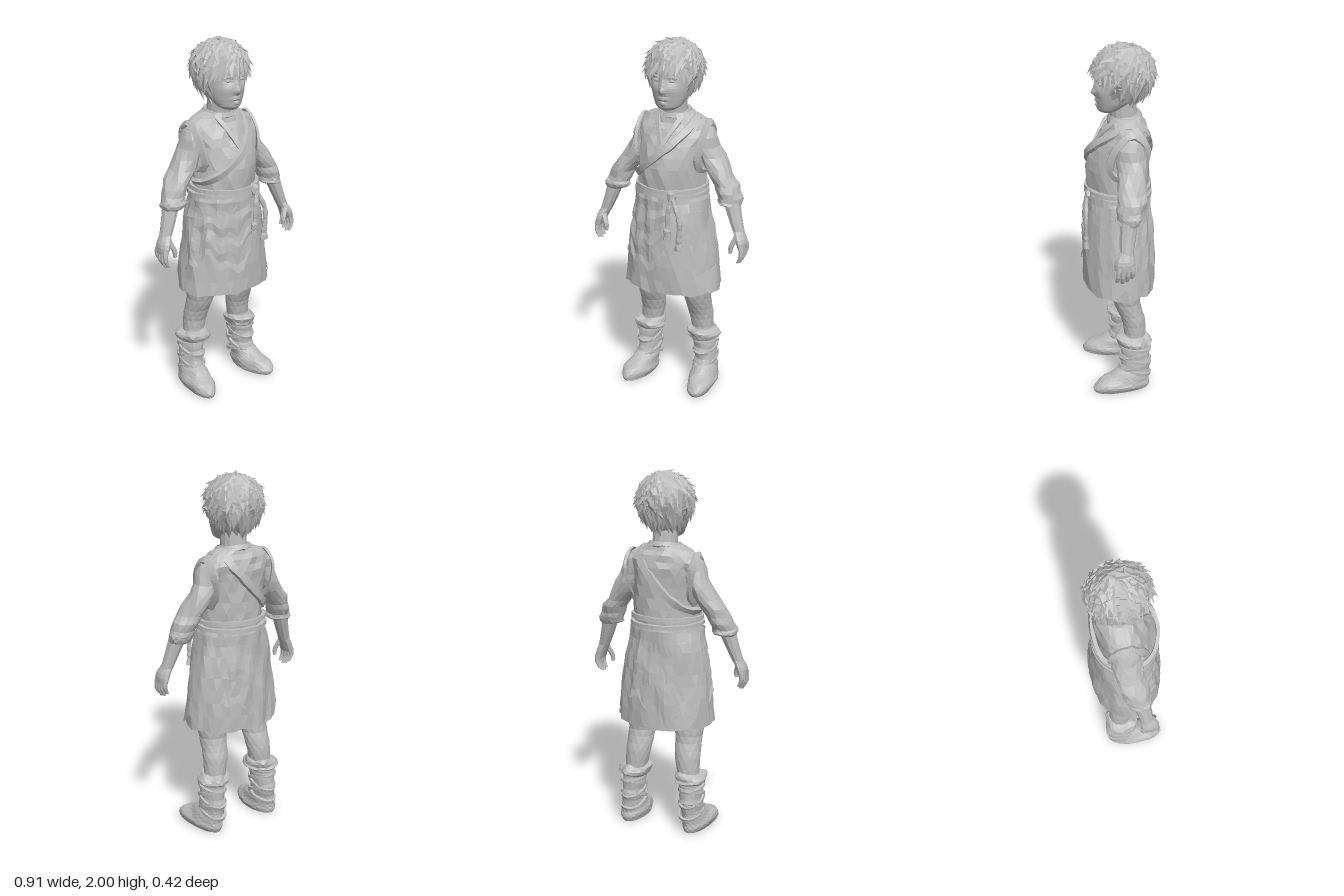
import * as THREE from 'three';
import { mergeGeometries } from 'three/addons/utils/BufferGeometryUtils.js';

const V = (x, y, z) => new THREE.Vector3(x, y, z);
const clay = new THREE.MeshStandardMaterial({ color: 0xbcbcbc, side: THREE.DoubleSide });
clay.name = 'grey clay';

let seed = 7;
const rand = () => (seed = (seed * 16807) % 2147483647) / 2147483647;
const crumple = (x, y, z) => Math.sin(37 * x + 51 * y + 13 * z) * Math.sin(29 * z - 41 * y + 23 * x + 1);
const bump = (dx, dy, r) => Math.exp(-(dx * dx + dy * dy) / (r * r));

// faceted normals
function flat(geo) {
  const g = geo.index ? geo.toNonIndexed() : geo;
  g.deleteAttribute('uv');
  g.computeVertexNormals();
  return g;
}

// Rows of points joined by triangles whose diagonals alternate from row to row
function gridGeometry(pos, rows, cols) {
  const index = [];
  for (let i = 0; i < rows - 1; i++) for (let j = 0; j < cols - 1; j++) {
    const a = i * cols + j, d = a + cols;
    if (i % 2) index.push(a, a + 1, d + 1, a, d + 1, d);
    else index.push(a, a + 1, d, a + 1, d + 1, d);
  }
  const g = new THREE.BufferGeometry();
  g.setAttribute('position', new THREE.Float32BufferAttribute(pos, 3));
  g.setIndex(index);
  return flat(g);
}

// Horizontal elliptical rings [y, x, z, rx, rz], listed from bottom to top
function loft(rings, { s = 1, n = 14, rows = 10, amp = 0, caps = true, arc, deform } = {}) {
  const mid = new THREE.CatmullRomCurve3(rings.map(r => V(r[1] * s, r[0], r[2])));
  const rad = new THREE.CatmullRomCurve3(rings.map(r => V(r[3], 0, r[4])));
  const list = [];
  for (let i = 0; i <= rows; i++) list.push([mid.getPoint(i / rows), rad.getPoint(i / rows)]);
  if (caps) {
    list.unshift([list[0][0], V(0, 0, 0)]);
    list.push([list[list.length - 1][0], V(0, 0, 0)]);
  }
  const [t0, t1] = arc || [0, Math.PI * 2];
  const pos = [];
  list.forEach(([c, r], i) => {
    const stagger = amp && !arc ? i % 2 / 2 : 0;
    for (let j = 0; j <= n; j++) {
      const t = t0 + (t1 - t0) * (j % (arc ? n + 1 : n) + stagger) / n;
      const p = V(c.x + r.x * Math.sin(t), c.y, c.z + r.z * Math.cos(t));
      const k = amp * crumple(p.x, p.y, p.z);
      p.x += k * Math.sin(t); p.z += k * Math.cos(t); p.y += k * 0.6;
      if (deform) deform(p, t, i / (list.length - 1));
      pos.push(p.x, p.y, p.z);
    }
  });
  return gridGeometry(pos, list.length, n + 1);
}

// Flat band swept along points, facing away from a centre
function band(points, centre, width, thick, closed = true, steps = 40) {
  const curve = new THREE.CatmullRomCurve3(points.map(p => V(...p)), closed);
  const pos = [];
  for (let i = 0; i <= steps; i++) {
    const p = curve.getPoint(i / steps), T = curve.getTangent(i / steps);
    const N = p.clone().sub(V(...centre));
    N.addScaledVector(T, -N.dot(T)).normalize();
    const B = T.clone().cross(N);
    const w = width / 2 * (1 + 0.25 * crumple(p.x * 3, p.y * 3, p.z * 3));
    for (const [a, b] of [[-1, -1], [1, -1], [0.8, 1], [-0.8, 1], [-1, -1]]) {
      const q = p.clone().addScaledVector(B, a * w).addScaledVector(N, b * thick / 2);
      pos.push(q.x, q.y, q.z);
    }
  }
  return gridGeometry(pos, steps + 1, 5);
}

const ellipse = (y, x, z, rx, rz, tilt = 0, n = 12) => Array.from({ length: n }, (_, i) => {
  const t = i / n * Math.PI * 2;
  return [x + rx * Math.sin(t), y + tilt * Math.cos(t), z + rz * Math.cos(t)];
});

// Pointed lock of hair at P, lying against normal N and pointing along D
function hairLock(P, N, D, radius, len) {
  const S = D.clone().cross(N).normalize();
  const g = new THREE.ConeGeometry(radius, len, 4).scale(1, 1, 0.45).translate(0, len * 0.25, 0);
  return flat(g.applyMatrix4(new THREE.Matrix4().makeBasis(S, D, S.clone().cross(D)).setPosition(P)));
}

export function createModel() {
  const model = new THREE.Group();
  const add = (name, ...geos) => {
    const m = new THREE.Mesh(geos.length > 1 ? mergeGeometries(geos) : geos[0], clay);
    m.name = name;
    model.add(m);
  };

  // Head, with eye sockets, cheeks, nose and mouth pressed into the front
  add('head', loft([[1.638, 0, 0.055, 0.04, 0.038], [1.655, 0, 0.046, 0.068, 0.06], [1.70, 0, 0.018, 0.094, 0.097],
    [1.76, 0, 0, 0.11, 0.118], [1.82, 0, -0.01, 0.114, 0.128], [1.89, 0, -0.02, 0.11, 0.135], [1.95, 0, -0.03, 0.07, 0.08]],
  { n: 44, rows: 34, deform: p => {
    if (p.z < 0.03) return;
    const ax = Math.abs(p.x);
    p.z += -0.016 * bump(ax - 0.043, p.y - 1.8, 0.021) + 0.006 * bump(ax - 0.055, p.y - 1.745, 0.03)
      + 0.026 * bump(p.x * 1.1, p.y - 1.743, 0.018) + 0.012 * bump(p.x * 1.4, p.y - 1.775, 0.025)
      + 0.01 * bump(p.x * 0.5, p.y - 1.7, 0.011) - 0.008 * bump(p.x * 0.5, p.y - 1.688, 0.007)
      + 0.01 * bump(p.x * 0.6, p.y - 1.677, 0.009) + 0.007 * bump(p.x, p.y - 1.65, 0.025);
  } }));
  for (const s of [1, -1]) {
    const eye = new THREE.SphereGeometry(0.014, 10, 6).scale(1.25, 0.65, 0.6).translate(s * 0.044, 1.798, 0.1);
    add('eye', flat(eye));
    add('eyebrow', band([[s * 0.02, 1.817, 0.118], [s * 0.045, 1.824, 0.112], [s * 0.072, 1.816, 0.095]], [0, 1.8, 0], 0.012, 0.008, false, 6));
    add('ear', flat(new THREE.SphereGeometry(0.03, 7, 5).scale(0.45, 1.1, 0.75).translate(s * 0.116, 1.765, -0.005)));
  }
  add('neck', loft([[1.53, 0, -0.04, 0.085, 0.085], [1.6, 0, -0.032, 0.07, 0.074], [1.7, 0, -0.02, 0.068, 0.074]]));

  // Hair: a cap cut back above the face, covered with locks that fall from the crown
  const C = V(0, 1.842, -0.03), R = V(0.144, 0.142, 0.158), locks = [];
  const cap = new THREE.SphereGeometry(1, 24, 16).scale(R.x, R.y, R.z).translate(C.x, C.y, C.z);
  const cp = cap.attributes.position;
  for (let i = 0; i < cp.count; i++) if (cp.getZ(i) > 0 && cp.getY(i) < 1.86) cp.setZ(i, cp.getZ(i) * 0.6);
  add('hairCap', flat(cap));
  const count = 210;
  for (let i = 0; i < count; i++) {
    const h = 1 - 1.92 * (i + 0.5) / count, a = i * 2.39996, q = Math.sqrt(1 - h * h);
    const N = V(q * Math.sin(a), h, q * Math.cos(a));
    const P = N.clone().multiply(R).add(C);
    if (P.z > 0.035 && P.y < 1.88 || P.z > -0.03 && P.y < 1.75) continue;
    const D = P.clone().sub(V(0.03, 1.99, -0.07));
    D.addScaledVector(N, -D.dot(N)).normalize();
    const S = D.clone().cross(N);
    D.addScaledVector(S, (rand() - 0.5) * 1.2).addScaledVector(N, rand() * 0.2);
    if (h < -0.3) D.y -= 0.9;
    locks.push(hairLock(P, N, D.normalize(), 0.03 + rand() * 0.014, 0.075 + rand() * 0.05));
  }
  // fringe swept sideways around the forehead
  for (let i = 0; i < 13; i++) {
    const a = -1.25 + i * 0.208, N = V(Math.sin(a), 0.25, Math.cos(a)).normalize();
    const P = V(0.118 * Math.sin(a), 1.892 - 0.02 * Math.abs(a), -0.012 + 0.137 * Math.cos(a));
    const D = V(Math.cos(a) * (a - 0.35) * 0.6, -1, 0);
    D.addScaledVector(N, 0.1 - D.dot(N)).normalize();
    locks.push(hairLock(P, N, D, 0.028, 0.085 + 0.03 * Math.abs(a) + rand() * 0.025));
  }
  add('hairLocks', ...locks);

  // Vest, collar, armhole edges and shoulder strap
  add('vest', loft([[1.15, 0, 0, 0.182, 0.16], [1.25, 0, 0.003, 0.186, 0.168], [1.35, 0, 0.002, 0.183, 0.168],
    [1.45, 0, -0.015, 0.19, 0.152], [1.52, 0, -0.035, 0.205, 0.126], [1.57, 0, -0.045, 0.19, 0.098],
    [1.612, 0, -0.038, 0.092, 0.083]], { n: 22, rows: 10, amp: 0.009 }));
  add('collar', band(ellipse(1.608, 0, -0.036, 0.083, 0.081, -0.01), [0, 1.57, -0.035], 0.03, 0.014),
    ...[1, -1].map(s => band([[s * 0.072, 1.605, 0.018], [s * 0.054, 1.56, 0.066], [s * 0.025, 1.5, 0.11], [0, 1.44, 0.144]],
      [0, 1.5, -0.1], 0.026, 0.012, false, 8)));
  for (const s of [1, -1]) add('armholeEdge', band([[s * 0.2, 1.566, -0.045], [s * 0.197, 1.49, 0.043], [s * 0.178, 1.36, 0.07],
    [s * 0.178, 1.29, -0.02], [s * 0.18, 1.36, -0.1], [s * 0.2, 1.5, -0.118]], [0, 1.4, -0.03], 0.042, 0.014));
  add('shoulderStrap', band([[-0.188, 1.25, 0], [-0.15, 1.285, 0.111], [-0.05, 1.37, 0.167], [0.05, 1.46, 0.145], [0.12, 1.54, 0.055],
    [0.13, 1.589, -0.045], [0.1, 1.54, -0.135], [0, 1.42, -0.174], [-0.12, 1.3, -0.14]], [0, 1.4, 0], 0.045, 0.02));

  // Skirt with gathered folds and a ragged hem, plus an inner hem and torn overlaps
  const skirt = [[0.62, 0.004, -0.003, 0.277, 0.202], [0.8, 0.003, 0, 0.262, 0.197], [0.95, 0, 0, 0.24, 0.188], [1.08, 0, 0, 0.217, 0.177], [1.19, 0, 0, 0.187, 0.162]];
  const folds = (p, t, v) => {
    const k = 1 + 0.012 * Math.sin(9 * t + 4 * v) + 0.008 * Math.sin(17 * t);
    p.x *= k; p.z *= k;
    if (v === 0) p.y += 0.006 * Math.sin(7 * t) + 0.005 * Math.sin(13 * t + 1) + 0.004 * Math.cos(t);
  };
  add('skirt', loft(skirt, { n: 34, rows: 9, amp: 0.009, caps: false, deform: folds }));
  add('innerHem', loft([[0.605, 0, -0.01, 0.238, 0.172], [0.75, 0, 0, 0.235, 0.17], [0.9, 0, 0, 0.2, 0.16]],
    { n: 30, rows: 4, amp: 0.008, caps: false, deform: folds }));
  const overlap = (bottom, arc, tear, n) => loft([0, 1, 2, 3, 4].map(i => {
    const drop = (1.15 - bottom) * (1 - i / 4);
    return [1.15 - drop, 0, 0, 0.204 + drop * 0.16, 0.175 + drop * 0.07];
  }), { n, rows: 8, amp: 0.009, caps: false, arc, deform: (p, t, v) => { folds(p, t, 0.5); p.y += (1 - v) * tear(t); } });
  add('tornOverlap', overlap(0.8, [-1.75, 0.25], t => 0.045 * Math.sin(5 * t) + 0.03 * Math.sin(12 * t), 18),
    overlap(0.66, [0.85, 2.0], t => 0.035 * Math.sin(9 * t), 10),
    overlap(0.7, [2.5, 4.1], t => 0.08 * Math.sin(3 * t) + 0.02 * Math.sin(14 * t), 14));

  // Rope belt with a knot and two tasselled ends
  add('belt', band(ellipse(1.213, 0, 0, 0.193, 0.171, -0.005), [0, 1.2, 0], 0.026, 0.02),
    band(ellipse(1.182, 0, 0, 0.198, 0.174, 0.006), [0, 1.17, 0], 0.026, 0.02));
  add('beltKnot', flat(new THREE.DodecahedronGeometry(0.03).scale(1, 1.1, 0.6).translate(0.08, 1.195, 0.176)));
  for (const [x, y] of [[0.065, 0.95], [0.13, 0.9]]) {
    add('beltEnd', loft([[y + 0.05, x, 0.196, 0.014, 0.01], [y + 0.17, x + 0.006, 0.197, 0.015, 0.011], [1.19, 0.085, 0.184, 0.014, 0.012]], { n: 6, rows: 7, amp: 0.003 }),
      loft([[y, x, 0.196, 0.025, 0.016], [y + 0.04, x, 0.196, 0.018, 0.013], [y + 0.055, x, 0.196, 0.021, 0.016], [y + 0.075, x, 0.196, 0.012, 0.011]], { n: 7, rows: 6, amp: 0.005 }));
  }

  for (const s of [1, -1]) {
    // Sleeve, forearm and hand
    add('sleeve', loft([[1.145, 0.34, -0.006, 0.062, 0.062], [1.21, 0.326, -0.016, 0.066, 0.072], [1.3, 0.272, -0.03, 0.066, 0.077],
      [1.42, 0.198, -0.038, 0.068, 0.078], [1.52, 0.16, -0.045, 0.064, 0.076], [1.575, 0.12, -0.045, 0.055, 0.05]],
    { s, n: 13, rows: 11, amp: 0.009 }));
    add('sleeveCuff', loft([[1.138, 0.346, -0.004, 0.06, 0.062], [1.15, 0.342, -0.004, 0.069, 0.069], [1.172, 0.336, -0.007, 0.067, 0.068],
      [1.185, 0.334, -0.008, 0.058, 0.06]], { s, n: 14, rows: 4, amp: 0.012 }));
    add('forearm', loft([[0.99, 0.41, 0.022, 0.031, 0.036], [1.06, 0.384, 0.013, 0.037, 0.042], [1.18, 0.345, -0.005, 0.048, 0.05]], { s, n: 10, rows: 5 }));
    const digits = [0, 1, 2, 3].map(i => {
      const z = 0.072 - i * 0.026, tip = 0.83 + [0.008, 0, 0.008, 0.025][i];
      return loft([[tip, 0.425, z + 0.002, 0.009, 0.009], [tip + 0.04, 0.443, z, 0.013, 0.013], [0.935, 0.439, z * 0.9, 0.016, 0.015]], { s, n: 6, rows: 4 });
    });
    digits.push(loft([[0.885, 0.381, 0.07, 0.009, 0.01], [0.92, 0.383, 0.07, 0.014, 0.014], [0.985, 0.413, 0.05, 0.02, 0.019]], { s, n: 6, rows: 5 }));
    add('hand', loft([[0.91, 0.438, 0.032, 0.019, 0.051], [0.955, 0.428, 0.032, 0.029, 0.052], [1.01, 0.402, 0.021, 0.03, 0.035]], { s, n: 10, rows: 5 }), ...digits);

    // Leg and boot
    add('leg', loft([[0.3, 0.165, -0.07, 0.058, 0.06], [0.4, 0.155, -0.068, 0.069, 0.064], [0.46, 0.149, -0.055, 0.074, 0.068],
      [0.53, 0.145, -0.03, 0.076, 0.073], [0.6, 0.141, -0.02, 0.087, 0.083], [0.78, 0.12, -0.01, 0.095, 0.09]], { s, n: 12, rows: 9, amp: 0.002 }));
    add('boot', loft([[0.005, 0.192, 0.012, 0.066, 0.156], [0.035, 0.194, 0.013, 0.078, 0.166], [0.07, 0.194, -0.004, 0.073, 0.146],
      [0.1, 0.188, -0.035, 0.065, 0.115], [0.14, 0.184, -0.068, 0.06, 0.086], [0.23, 0.178, -0.07, 0.062, 0.08], [0.31, 0.172, -0.066, 0.068, 0.084]],
    { s, n: 18, rows: 14, amp: 0.005, deform: p => { p.x += s * 0.13 * Math.max(0, p.z); } }));
    add('bootCuff', loft([[0.282, 0.17, -0.064, 0.07, 0.08], [0.294, 0.17, -0.064, 0.087, 0.095], [0.328, 0.17, -0.064, 0.088, 0.096],
      [0.347, 0.168, -0.064, 0.066, 0.07]], { s, n: 18, rows: 6, amp: 0.014 }));
    // crossed wrappings
    add('bootWraps', ...[[0.115, 0.03], [0.155, -0.035], [0.19, 0.035], [0.23, -0.03], [0.265, 0.015]].map(([y, tilt]) =>
      band(ellipse(y, s * 0.18, -0.069, 0.064, 0.086, tilt), [s * 0.18, y, -0.069], 0.02, 0.014, true, 20)));
  }
  return model;
}
